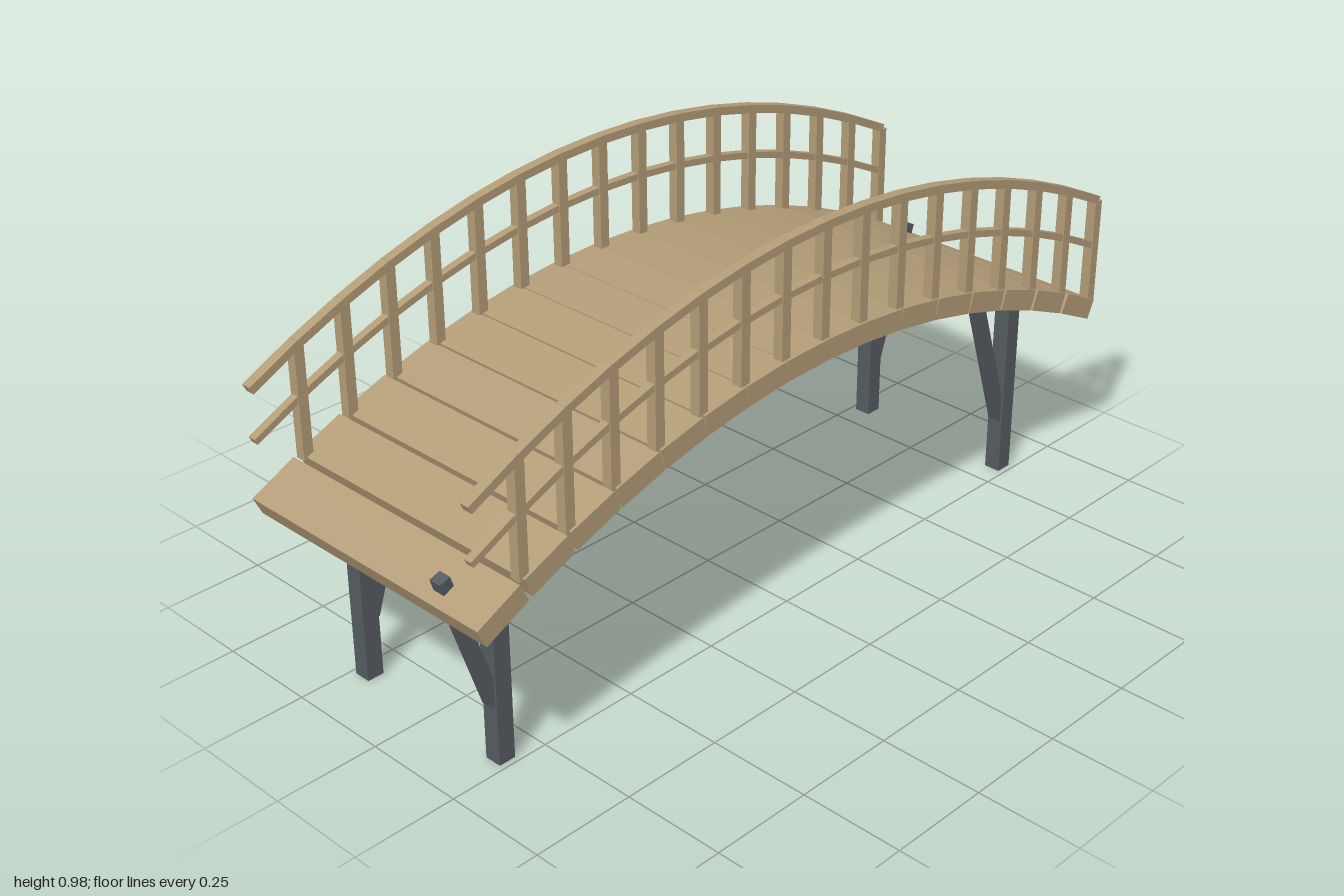
import * as THREE from 'three';

const STEP = 0.124, COUNT = 16, START = -0.996, BEND = 0.26;

export function createModel() {
  const bridge = new THREE.Group();
  bridge.name = 'archedFootbridge';
  const wood = new THREE.MeshStandardMaterial({ color: 0xb39c77 });
  wood.name = 'tanWood';
  const iron = new THREE.MeshStandardMaterial({ color: 0x555b60 });
  iron.name = 'darkGrey';

  // Height of a curve parallel to the arch, with its crown at the given height
  const arch = (crown, x) => crown - BEND * x * x;

  function box(name, material, size, position, tilt = 0) {
    const mesh = new THREE.Mesh(new THREE.BoxGeometry(...size), material);
    mesh.name = name;
    mesh.position.set(...position);
    mesh.rotation.z = tilt;
    bridge.add(mesh);
  }

  // Straight bar between two points in a plane of constant z
  function bar(name, material, x0, y0, x1, y1, z, thick, width) {
    box(name, material, [Math.hypot(x1 - x0, y1 - y0), thick, width],
      [(x0 + x1) / 2, (y0 + y1) / 2, z], Math.atan2(y1 - y0, x1 - x0));
  }

  for (let i = 0; i < COUNT; i++) {
    const x0 = START + i * STEP, x1 = x0 + STEP, mid = x0 + STEP / 2;

    // Deck planks of equal length, tilted along the arch
    box('deckPlank', wood, [STEP, 0.05, 0.712], [mid, arch(0.685, mid), 0],
      Math.atan(-2 * BEND * mid));

    for (const z of [-0.337, 0.337]) {
      // Posts stand at the far end of every plank
      const low = arch(0.705, x1), high = arch(0.972, x1);
      box('railPost', wood, [0.025, high - low, 0.025], [x1, (low + high) / 2, z]);

      // Handrail and middle rail
      bar('handrail', wood, x0, arch(0.975, x0), x1, arch(0.975, x1), z, 0.02, 0.025);
      bar('middleRail', wood, x0, arch(0.855, x0), x1, arch(0.855, x1), z, 0.016, 0.02);
    }
  }

  // Legs, each with one slanting brace
  for (const x of [-0.842, 0.832]) {
    for (const z of [-0.215, 0.215]) {
      const side = -Math.sign(z);
      box('leg', iron, [0.042, 0.485, 0.042], [x, 0.2425, z]);
      bar('legBrace', iron, x + side * 0.014, 0.148, x + side * 0.129, 0.498, z, 0.028, 0.031);
    }
  }
  return bridge;
}
